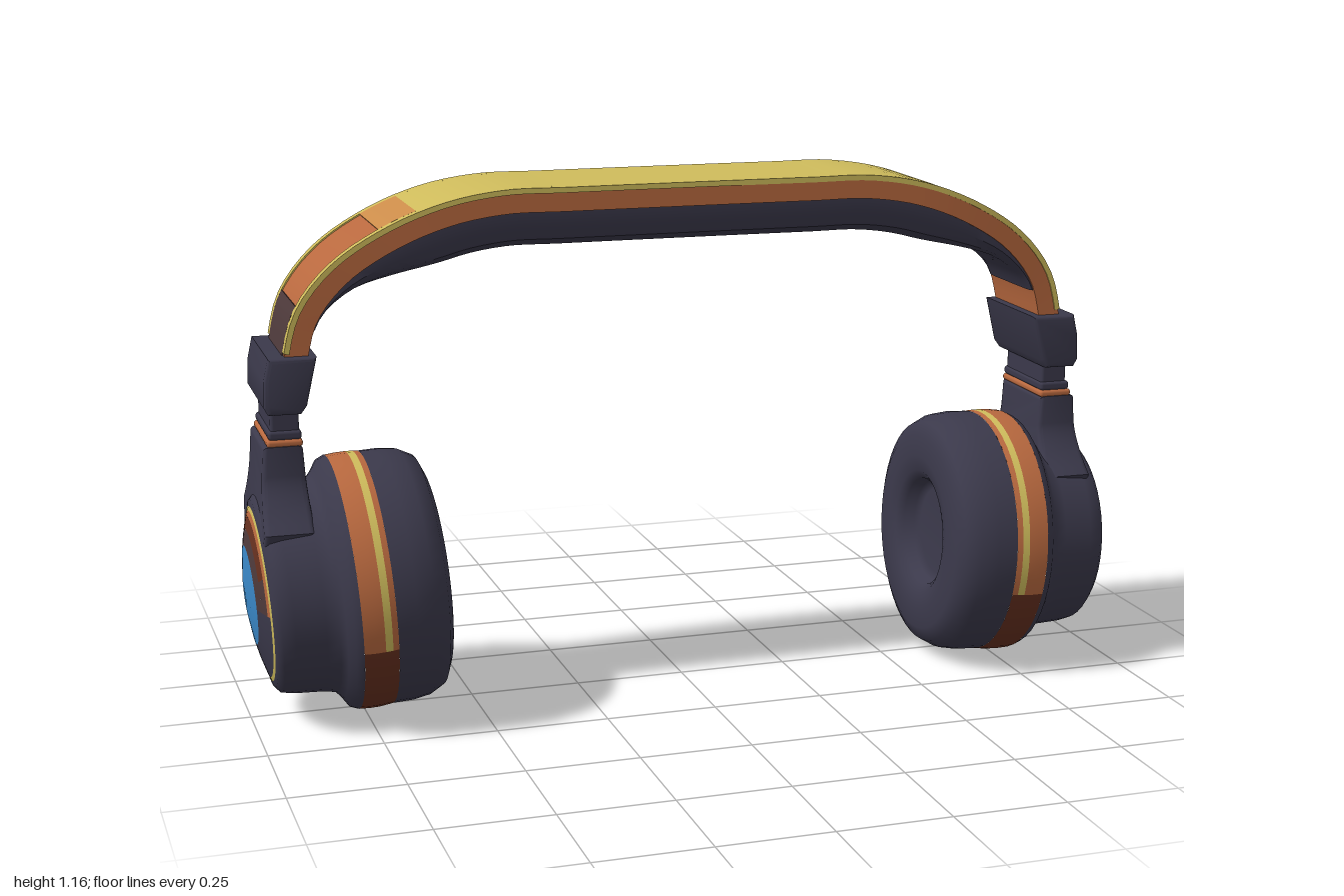
import * as THREE from 'three';
import { toCreasedNormals } from 'three/addons/utils/BufferGeometryUtils.js';
import { RoundedBoxGeometry } from 'three/addons/geometries/RoundedBoxGeometry.js';

const mat = (name, color) => Object.assign(new THREE.MeshStandardMaterial({ color }), { name });
const M = {
  navy: mat('navy', 0x3b394b),
  orange: mat('orange', 0xb9693f),
  amber: mat('amber', 0xcb8c4a),
  yellow: mat('yellow', 0xcfbc5c),
  maroon: mat('maroon', 0x66301f),
  brown: mat('brown', 0x4e3a3b),
  blue: mat('blue', 0x3a88c8),
};

function add(parent, name, geometry, material) {
  const mesh = new THREE.Mesh(geometry, material);
  mesh.name = name;
  parent.add(mesh);
  return mesh;
}

// Skin closed rings of points, capped at both ends
function loft(rings) {
  const n = rings[0].length, last = (rings.length - 1) * n, index = [];
  for (let i = 0; i < rings.length - 1; i++) {
    for (let j = 0; j < n; j++) {
      const a = i * n + j, b = i * n + (j + 1) % n;
      index.push(a, b, b + n, a, b + n, a + n);
    }
  }
  for (let j = 1; j < n - 1; j++) index.push(0, j + 1, j, last, last + j, last + j + 1);
  const g = new THREE.BufferGeometry().setFromPoints(rings.flat());
  g.setIndex(index);
  return toCreasedNormals(g, 0.6);
}

// Outer line of the headband, from the -x end to the +x end
const half = [[0.905, 0.79], [0.87, 0.92], [0.795, 1.015], [0.68, 1.09], [0.55, 1.14], [0.42, 1.162], [0.28, 1.163]];
const bandCurve = new THREE.CatmullRomCurve3([
  ...half.map(([x, y]) => new THREE.Vector3(-x, y, 0)),
  ...half.slice().reverse().map(([x, y]) => new THREE.Vector3(x, y, 0)),
]);
const halfWidth = (u) => 0.122 + 0.018 * THREE.MathUtils.smoothstep(Math.min(u, 1 - u), 0, 0.25);

// Sweep a section, given as [outward, sideways] pairs, along part of the headband
function sweep(u0, u1, section) {
  const steps = Math.max(6, Math.ceil((u1 - u0) * 70)), rings = [];
  for (let i = 0; i <= steps; i++) {
    const u = u0 + (u1 - u0) * i / steps;
    const p = bandCurve.getPointAt(u), t = bandCurve.getTangentAt(u);
    rings.push(section(u).map(([n, z]) => new THREE.Vector3(p.x - t.y * n, p.y + t.x * n, z)));
  }
  return loft(rings);
}
const rect = (n0, n1, z0, z1) => [[n1, z0], [n1, z1], [n0, z1], [n0, z0]];

function headband() {
  const g = new THREE.Group();
  g.name = 'headband';
  add(g, 'bandBody', sweep(0, 1, (u) => rect(-0.05, 0, -halfWidth(u), halfWidth(u))), M.orange);
  // Painted zones on the outside
  const zone = (name, a, b, m) => add(g, name,
    sweep(a, b, (u) => rect(-0.002, 0.003, 0.02 - halfWidth(u), halfWidth(u) - 0.02)), m);
  zone('topPanel', 0.219, 0.781, M.yellow);
  for (const [name, a, b, m] of [['amberPanel', 0.178, 0.219, M.amber], ['brownPanel', 0, 0.067, M.brown]]) {
    zone(name, a, b, m);
    zone(name, 1 - b, 1 - a, m);
  }
  // Bright trim along both edges
  for (const s of [-1, 1]) {
    add(g, 'edgeTrim', sweep(0.02, 0.98, (u) => {
      const w = halfWidth(u), z = [s * (w - 0.021), s * (w + 0.003)].sort((a, b) => a - b);
      return rect(-0.009, 0.003, z[0], z[1]);
    }), M.yellow);
  }
  // Cushion below, thinning out towards the ends
  add(g, 'bandCushion', sweep(0.05, 0.95, (u) => {
    const d = 0.006 + 0.07 * THREE.MathUtils.smoothstep(Math.min(u, 1 - u), 0.05, 0.24);
    const w = halfWidth(u) - 0.004;
    return [[-0.045, -w], [-0.045, w], [-0.05 - d * 0.4, w], [-0.05 - d * 0.8, w * 0.9], [-0.05 - d, w * 0.7],
      [-0.05 - d, -w * 0.7], [-0.05 - d * 0.8, -w * 0.9], [-0.05 - d * 0.4, -w]];
  }), M.navy);
  g.position.set(-0.01, 0, -0.03);
  return g;
}

// Ear cup turned about its own axis; profiles are [radius, distance outward]
const CUP_X = 0.78, CUP_Y = 0.2875;
function earCup(tilt) {
  const g = new THREE.Group();
  g.name = 'earCup';
  const ring = (name, pts, m, start = 0, len = Math.PI * 2) => {
    const geo = new THREE.LatheGeometry(pts.map(([r, x]) => new THREE.Vector2(r, x - CUP_X)),
      Math.ceil(48 * len / (Math.PI * 2)), start, len);
    add(g, name, geo, m).rotation.z = -Math.PI / 2;
  };
  ring('earCushion', [[0, 0.635], [0.1, 0.635], [0.118, 0.625], [0.126, 0.602], [0.145, 0.588], [0.18, 0.582],
    [0.23, 0.585], [0.26, 0.598], [0.277, 0.63], [0.283, 0.67], [0.283, 0.715]], M.navy);
  // Coloured band: bright above, deep below
  const low = [0.3, Math.PI - 0.6], high = [Math.PI - 0.3, Math.PI + 0.6];
  ring('cupBandUpper', [[0.283, 0.715], [0.285, 0.728]], M.orange, ...high);
  ring('cupBandLine', [[0.285, 0.728], [0.286, 0.744]], M.yellow, ...high);
  ring('cupBandUpper', [[0.286, 0.744], [0.286, 0.765], [0.284, 0.79]], M.orange, ...high);
  ring('cupBandLower', [[0.283, 0.715], [0.286, 0.744], [0.286, 0.765], [0.284, 0.79]], M.maroon, ...low);
  ring('cupHousing', [[0.284, 0.79], [0.277, 0.806], [0.255, 0.82], [0.24, 0.833], [0.234, 0.86],
    [0.228, 0.925], [0.222, 0.952], [0.208, 0.964], [0.194, 0.967]], M.navy);
  // Domed outer cap
  const cap = (name, r0, r1, m, ...arc) => ring(name,
    [r0, (r0 + r1) / 2, r1].map((r) => [r, 1 - 0.033 * (r / 0.194) ** 2]), m, ...arc);
  const lower = [0, Math.PI], upper = [Math.PI, Math.PI];
  cap('capRing', 0.194, 0.185, M.yellow);
  cap('capArc', 0.185, 0.172, M.orange, ...upper);
  cap('capArc', 0.172, 0.145, M.maroon, Math.PI * 1.15, Math.PI * 0.7);
  cap('capFace', 0.172, 0.145, M.brown, Math.PI, Math.PI * 0.15);
  cap('capFace', 0.172, 0.145, M.brown, Math.PI * 1.85, Math.PI * 0.15);
  cap('capFace', 0.145, 0.11, M.brown, ...upper);
  cap('capFace', 0.185, 0.11, M.navy, ...lower);
  cap('capCentre', 0.11, 0, M.blue);
  g.position.set(CUP_X, CUP_Y, 0);
  g.rotation.z = -tilt;
  return g;
}

// Slider arm joining the cup to the headband
function sliderArm(z) {
  const g = new THREE.Group();
  g.name = 'sliderArm';
  const bevel = { bevelEnabled: true, bevelSize: 0.01, bevelThickness: 0.01, bevelOffset: -0.01, bevelSegments: 3 };

  const side = new THREE.Shape([[0.828, 0.82], [0.852, 0.715], [0.865, 0.697], [0.935, 0.697], [0.945, 0.715],
    [0.943, 0.77], [0.932, 0.82]].map(([x, y]) => new THREE.Vector2(x, y)));
  const collar = new THREE.ExtrudeGeometry(side, { depth: 0.26, ...bevel });
  add(g, 'collar', toCreasedNormals(collar, 0.6), M.navy).position.z = z - 0.13 - Math.sign(z) * -0.01;

  const box = (name, w, h, d, x, y, m) =>
    add(g, name, new RoundedBoxGeometry(w, h, d, 2, 0.007), m).position.set(x, y, z);
  box('sliderNeck', 0.062, 0.12, 0.198, 0.898, 0.66, M.navy);
  box('sliderFoot', 0.072, 0.02, 0.212, 0.899, 0.648, M.navy);
  box('sliderStripe', 0.078, 0.016, 0.218, 0.9, 0.631, M.orange);

  // Flared stem running down into the housing
  const s = new THREE.Shape();
  s.moveTo(-0.11, 0.625);
  s.lineTo(-0.11, 0.56);
  s.quadraticCurveTo(-0.115, 0.515, -0.185, 0.45);
  s.lineTo(-0.15, 0.38);
  s.lineTo(0.15, 0.38);
  s.lineTo(0.185, 0.45);
  s.quadraticCurveTo(0.115, 0.515, 0.11, 0.56);
  s.lineTo(0.11, 0.625);
  const stem = new THREE.ExtrudeGeometry(s, { depth: 0.065, curveSegments: 8, ...bevel });
  stem.rotateY(Math.PI / 2);
  stem.translate(0.872, -0.5, 0);
  // Thicken towards the cup
  const p = stem.attributes.position;
  for (let i = 0; i < p.count; i++) {
    const k = 1 + Math.max(0, 0.125 - p.getY(i)) * 1.6;
    p.setX(i, 0.902 + (p.getX(i) - 0.902) * k);
  }
  add(g, 'stem', toCreasedNormals(stem, 0.6), M.navy).position.set(0, 0.5, z);
  return g;
}

export function createModel() {
  const model = new THREE.Group();
  model.name = 'headphones';
  model.add(headband());
  for (const s of [1, -1]) {
    const unit = new THREE.Group();
    unit.name = s > 0 ? 'leftSide' : 'rightSide';
    const arm = sliderArm(-0.017 * s);
    arm.position.x = -0.012 * s;
    unit.add(earCup(s > 0 ? 0.045 : 0.065), arm);
    unit.rotation.y = s > 0 ? 0 : Math.PI;
    unit.position.y = s > 0 ? 0 : 0.006;
    model.add(unit);
  }
  model.rotation.y = -0.014;
  return model;
}
